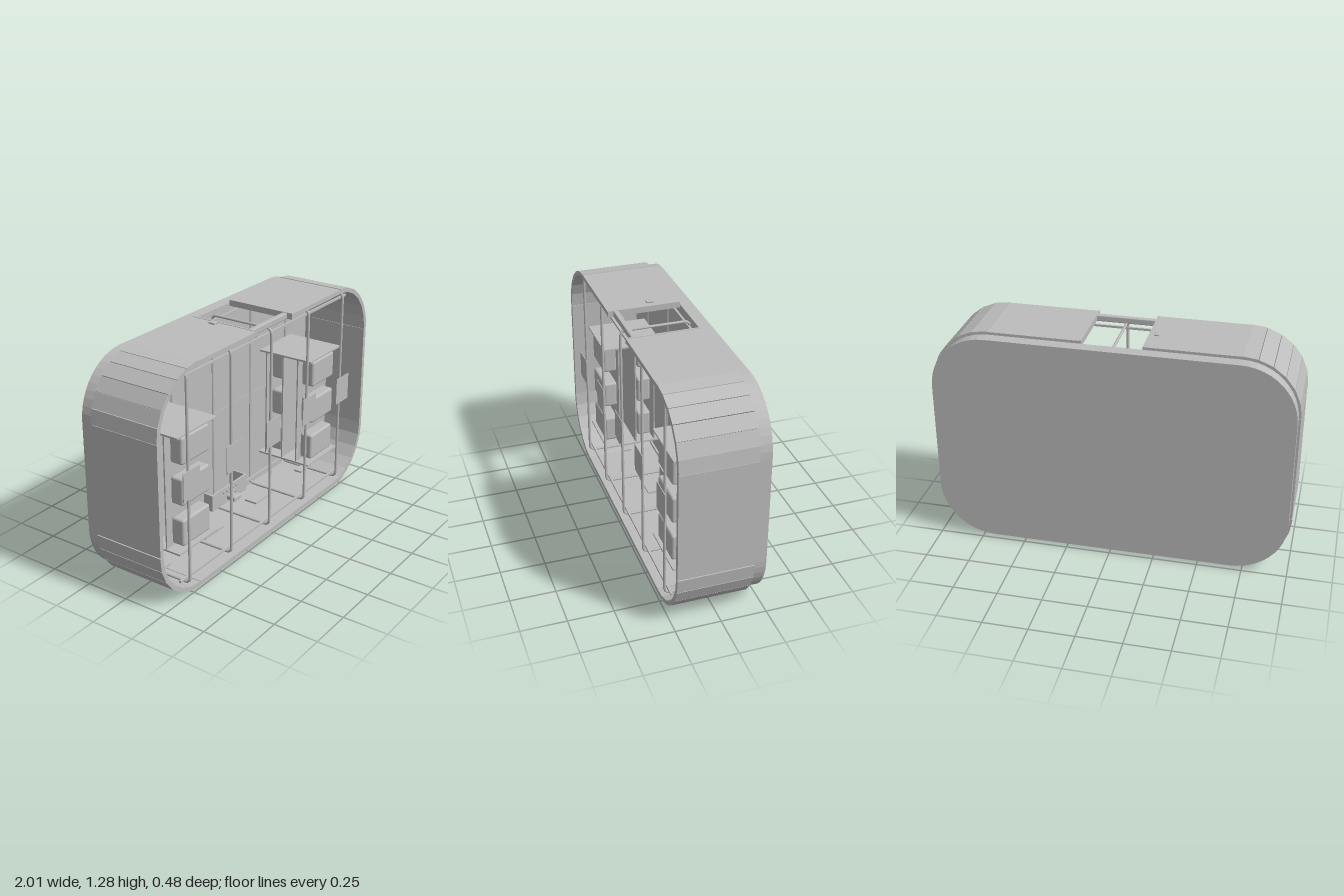
import * as THREE from 'three';
import { RoundedBoxGeometry } from 'three/addons/geometries/RoundedBoxGeometry.js';

const grey = new THREE.MeshStandardMaterial({ color: 0xbcbcbc });
grey.name = 'grey';

function add(parent, name, geometry, x = 0, y = 0, z = 0) {
  const mesh = new THREE.Mesh(geometry, grey);
  mesh.name = name;
  mesh.position.set(x, y, z);
  parent.add(mesh);
  return mesh;
}
const box = (w, h, d) => new THREE.BoxGeometry(w, h, d);

function group(parent, name) {
  const g = new THREE.Group();
  g.name = name;
  parent.add(g);
  return g;
}

// Rounded rectangle around the origin
function roundedRect(hw, hh, r) {
  const s = new THREE.Shape();
  s.absarc(hw - r, hh - r, r, 0, Math.PI / 2);
  s.absarc(r - hw, hh - r, r, Math.PI / 2, Math.PI);
  s.absarc(r - hw, r - hh, r, Math.PI, Math.PI * 1.5);
  s.absarc(hw - r, r - hh, r, Math.PI * 1.5, Math.PI * 2);
  s.closePath();
  return s;
}

// Shell of flat panels, with fine seams where the panels meet
function buildShell(parent) {
  const shell = group(parent, 'shell');
  const t = 0.025, depth = 0.41, zc = 0.035, yc = 0.632, cx = 0.68, cy = 0.31;
  const mid = 0.32 - t / 2, step = Math.PI / 12;
  for (const sx of [-1, 1]) {
    add(shell, 'sidePanel', box(t, cy * 2 - 0.004, depth), sx * (cx + mid), yc, zc);
    // Roof halves leave the hatch open between them
    add(shell, 'roofPanel', box(cx - 0.17, t, depth), sx * (cx + 0.17) / 2, yc + cy + mid, zc);
    for (const sy of [-1, 1]) {
      for (let i = 0; i < 6; i++) {
        const a = (i + 0.5) * step;
        const p = add(shell, 'cornerPanel', box(t, 2 * mid * Math.tan(step / 2), depth),
          sx * (cx + mid * Math.cos(a)), yc + sy * (cy + mid * Math.sin(a)), zc);
        p.rotation.z = sx * sy * a;
      }
    }
  }
  add(shell, 'floorPanel', box(cx * 2, t, depth), 0, yc - cy - mid, zc);

  // Slightly inset back lid
  add(shell, 'backLid', new THREE.ExtrudeGeometry(roundedRect(0.988, 0.615, 0.308),
    { depth: 0.07, bevelEnabled: false, curveSegments: 6 }), 0, yc, -0.24);
}

// Rounded loop frame lying in the y-z plane
function buildRib(parent, x) {
  const pts = roundedRect(0.195, 0.592, 0.03).getPoints(4)
    .map(p => new THREE.Vector3(0, p.y + 0.632, p.x + 0.025));
  pts.pop();
  const path = new THREE.CurvePath();
  pts.forEach((p, i) => path.add(new THREE.LineCurve3(p, pts[(i + 1) % pts.length])));
  add(parent, 'rib', new THREE.TubeGeometry(path, 160, 0.008, 8, true), x, 0, 0);
}

// Rack with two rows of rounded storage boxes
function buildRack(parent, side) {
  const rack = group(parent, 'rack');
  rack.position.x = side * 0.62;
  for (const y of [0.217, 0.876]) add(rack, 'rackShelf', box(0.33, 0.01, 0.35), 0, y, 0.015);
  for (const z of [0.1, 0, -0.115]) add(rack, 'rackDivider', box(0.32, 0.65, 0.008), 0, 0.546, z);
  for (const y of [0.315, 0.55, 0.782]) {
    for (const z of [0.14, -0.065]) {
      add(rack, 'storageBox', new RoundedBoxGeometry(0.23, 0.155, 0.08, 2, 0.014), 0, y, z);
    }
  }
}

// Control console with side wings, buttons and a handle
function buildConsole(parent) {
  const desk = group(parent, 'console');
  add(desk, 'consolePanel', box(0.34, 0.1, 0.012), 0, 0.163, -0.06);
  for (const s of [-1, 1]) add(desk, 'consoleWing', box(0.01, 0.1, 0.105), s * 0.165, 0.163, -0.118);
  for (let i = -2; i <= 2; i++) {
    const b = add(desk, 'button', new THREE.CylinderGeometry(0.007, 0.007, 0.01, 10), i * 0.031, 0.19, -0.05);
    b.rotation.x = Math.PI / 2;
  }
  add(desk, 'handleBlock', new RoundedBoxGeometry(0.07, 0.03, 0.06, 2, 0.008), 0, 0.148, -0.025);
  add(desk, 'handleArch', new THREE.TorusGeometry(0.025, 0.005, 6, 12, Math.PI), 0, 0.158, -0.03);
}

// Opening in the roof with its front sill and a release button
function buildHatch(parent) {
  const hatch = group(parent, 'hatch');
  add(hatch, 'hatchBar', new RoundedBoxGeometry(0.36, 0.035, 0.03, 2, 0.006), 0, 1.244, 0.193);
  for (const s of [-1, 1]) add(hatch, 'hatchEdge', box(0.01, 0.034, 0.41), s * 0.169, 1.247, 0.035);
  add(hatch, 'buttonStem', new THREE.CylinderGeometry(0.008, 0.008, 0.012, 10), -0.21, 1.264, -0.01);
  add(hatch, 'releaseButton', new RoundedBoxGeometry(0.028, 0.01, 0.042, 2, 0.004), -0.21, 1.271, -0.01);
}

export function createModel() {
  const model = new THREE.Group();
  model.name = 'capsule';
  buildShell(model);

  // Ribs, each with a thin front plate
  const frame = group(model, 'frame');
  for (let i = -2; i <= 2; i++) {
    buildRib(frame, i * 0.37);
    add(frame, 'frontPlate', box(0.135, 0.16, 0.004), i * 0.37, 0.63, 0.24);
  }
  // Long rails tying the ribs together
  for (const y of [0.07, 1.194]) {
    for (const z of [0.2, -0.16]) add(frame, 'rail', box(1.6, 0.012, 0.012), 0, y, z);
  }
  add(frame, 'backWire', box(1.7, 0.005, 0.005), 0, 0.63, -0.169);

  for (const s of [-1, 1]) {
    buildRack(model, s);
    add(model, 'floorPad', box(0.175, 0.01, 0.08), s * 0.25, 0.04, -0.02);
    add(model, 'outerFloorPad', box(0.12, 0.01, 0.05), s * 0.71, 0.045, 0);
  }
  buildConsole(model);
  buildHatch(model);
  return model;
}
